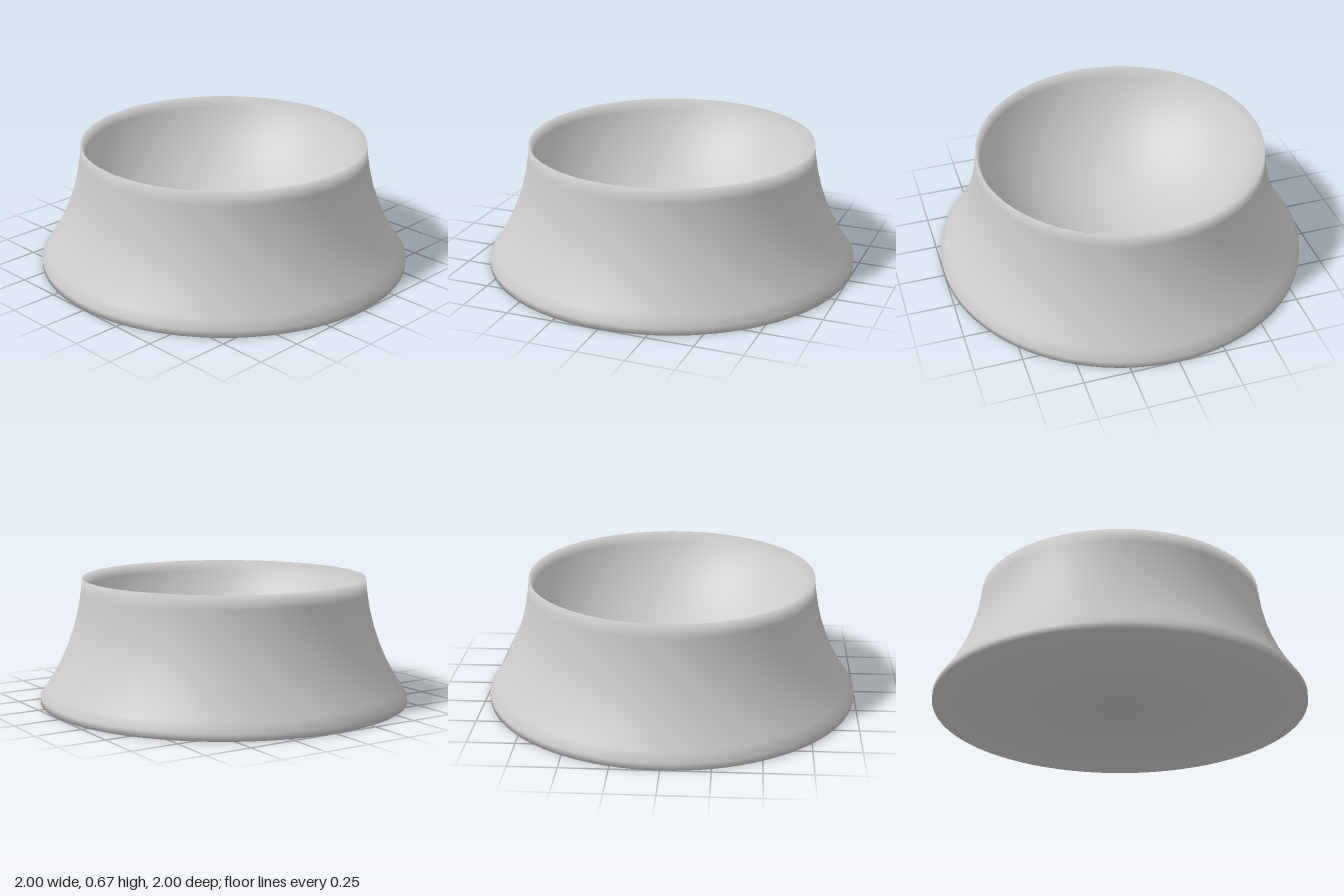
import * as THREE from 'three';

// Turn a profile into a smooth solid; every corner takes the even mean of its two edge normals
function turnedGeometry(profile, segments) {
  const edges = profile.slice(1).map((p, i) => {
    const d = p.clone().sub(profile[i]).normalize();
    return new THREE.Vector2(d.y, -d.x);
  });
  const last = profile.length - 1;
  const normals = profile.map((p, j) => {
    if (j === 0) return new THREE.Vector2(0, -1);
    if (j === last) return new THREE.Vector2(0, 1);
    return edges[j - 1].clone().add(edges[j]).normalize();
  });

  const geometry = new THREE.LatheGeometry(profile, segments);
  const normal = geometry.attributes.normal;
  for (let i = 0; i < normal.count; i++) {
    const n = normals[i % profile.length];
    const phi = Math.floor(i / profile.length) / segments * Math.PI * 2;
    normal.setXYZ(i, n.x * Math.sin(phi), n.y, n.x * Math.cos(phi));
  }
  return geometry;
}

// Flared feeding bowl: one smooth turned profile
export function createModel() {
  const group = new THREE.Group();
  group.name = 'bowl';

  const rimHeight = 0.67, rimRadius = 0.767, basinRadius = 0.82;

  // Flat underside and short vertical foot edge
  const profile = [new THREE.Vector2(0, 0), new THREE.Vector2(1, 0)];

  // Concave flared outer wall, foot to rim
  const wall = new THREE.SplineCurve([
    [1, 0.035], [0.94, 0.125], [0.877, 0.24], [0.82, 0.385], [0.782, 0.54], [rimRadius, rimHeight],
  ].map(([r, y]) => new THREE.Vector2(r, y)));
  profile.push(...wall.getPoints(8));

  // Spherical basin, from the thin rim down to its centre
  const steps = 16;
  const rimAngle = Math.asin(rimRadius / basinRadius);
  const centreHeight = rimHeight + basinRadius * Math.cos(rimAngle);
  for (let i = 1; i <= steps; i++) {
    const a = rimAngle * (1 - i / steps);
    profile.push(new THREE.Vector2(
      basinRadius * Math.sin(a),
      centreHeight - basinRadius * Math.cos(a),
    ));
  }

  const body = new THREE.Mesh(
    turnedGeometry(profile, 96),
    new THREE.MeshStandardMaterial({ color: 0xcccccc }),
  );
  body.name = 'bowlBody';
  group.add(body);
  return group;
}
